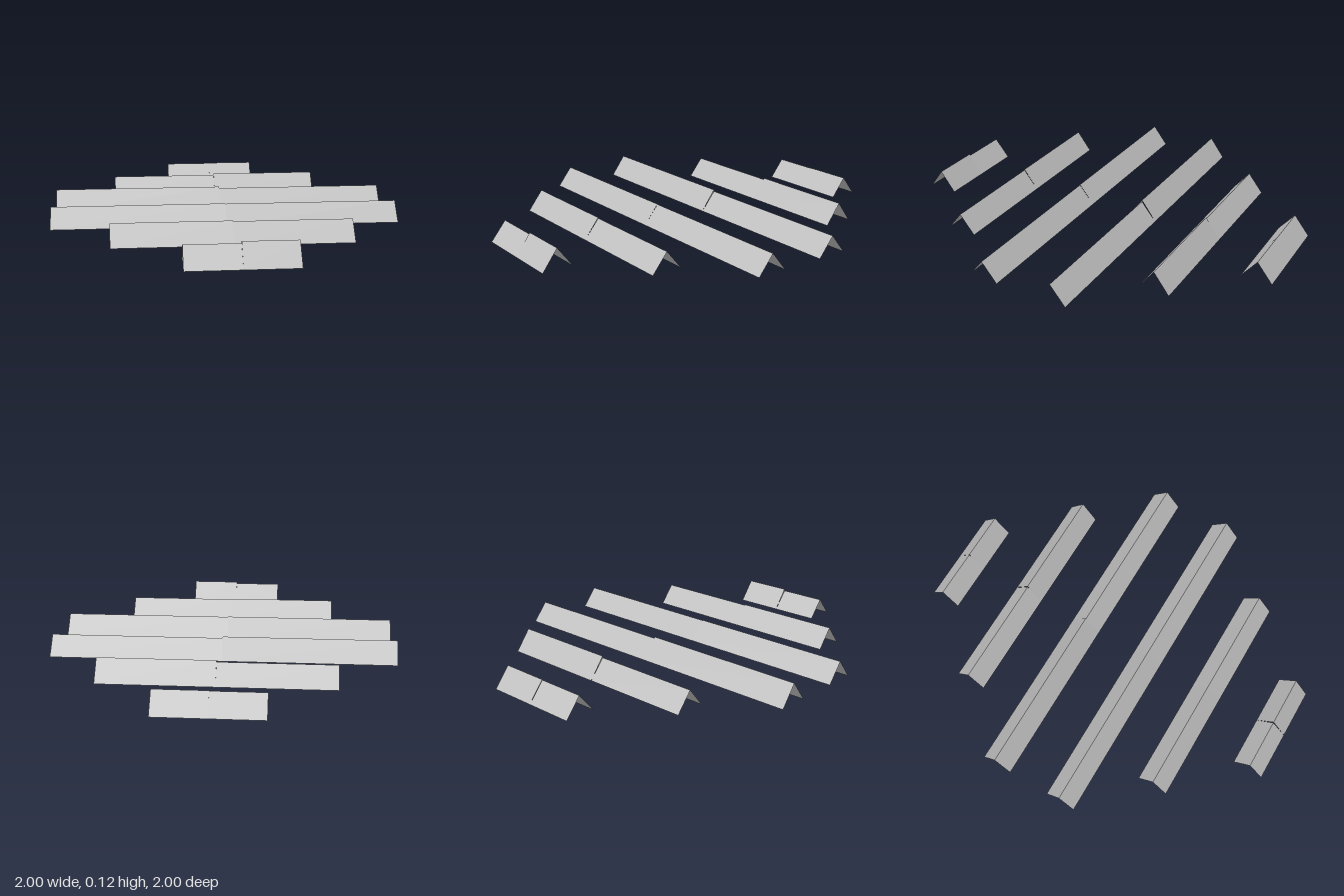
import * as THREE from 'three';

const HALF_WIDTH = 0.0885;

// One open, tent-folded sheet running along x from x0 to x1
function foldedSheet(x0, x1, height) {
  const w = HALF_WIDTH;
  const g = new THREE.BufferGeometry();
  g.setAttribute('position', new THREE.Float32BufferAttribute([
    // slope towards +z
    x0, 0, w, x1, 0, w, x1, height, 0, x0, height, 0,
    // slope towards -z
    x1, 0, -w, x0, 0, -w, x0, height, 0, x1, height, 0,
  ], 3));
  g.setIndex([0, 1, 2, 0, 2, 3, 4, 5, 6, 4, 6, 7]);
  g.computeVertexNormals();
  return g;
}

export function createModel() {
  const model = new THREE.Group();
  model.name = 'ridgedStrips';
  const grey = new THREE.MeshStandardMaterial({ color: 0xc0c0c0, side: THREE.DoubleSide });
  grey.name = 'light grey';

  // offset across the set, length, ridge height of left-end half and right-end half
  const strips = [
    [-1.039, 0.573, 0.109, 0.111],
    [-0.619, 1.287, 0.109, 0.118],
    [-0.212, 1.972, 0.118, 0.109],
    [0.209, 1.968, 0.111, 0.109],
    [0.612, 1.287, 0.113, 0.109],
    [1.034, 0.573, 0.108, 0.118],
  ];

  strips.forEach(([offset, length, hA, hB], i) => {
    const strip = new THREE.Group();
    strip.name = `strip${i + 1}`;
    strip.position.z = offset;
    // Two sheets meet at the middle with a small step in the ridge
    [[-length / 2, 0, hA, 'firstHalf'], [0, length / 2, hB, 'secondHalf']].forEach(([x0, x1, h, name]) => {
      const sheet = new THREE.Mesh(foldedSheet(x0, x1, h), grey);
      sheet.name = name;
      strip.add(sheet);
    });
    model.add(strip);
  });

  // The whole set lies diagonally
  model.rotation.y = Math.PI / 4;
  const root = new THREE.Group();
  root.name = 'diagonalStripSet';
  root.add(model);
  return root;
}
